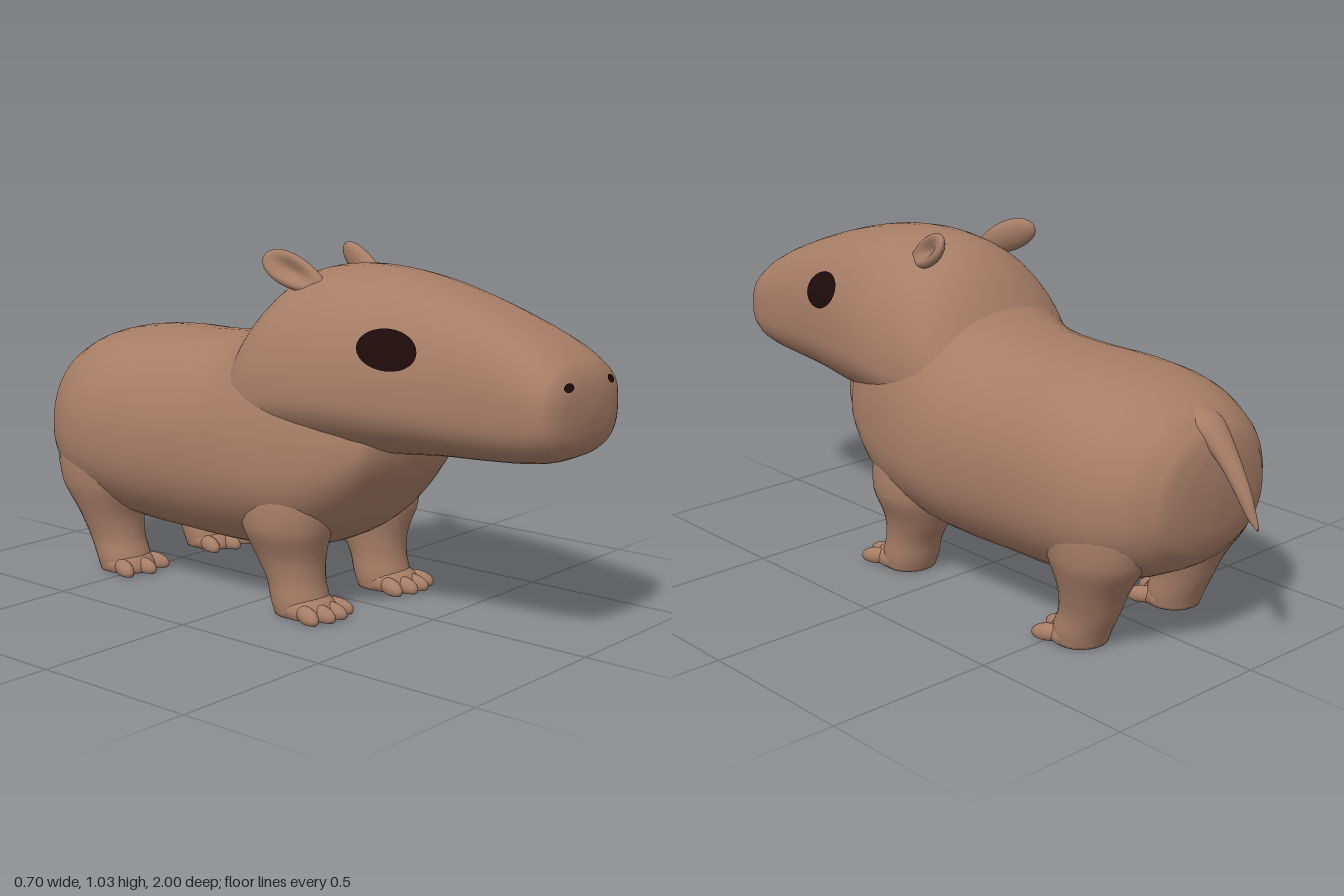
import * as THREE from 'three';

const fur = new THREE.MeshStandardMaterial({ color: 0xa67d66 });
fur.name = 'brownFur';
const dark = new THREE.MeshStandardMaterial({ color: 0x1e0b0b, side: THREE.DoubleSide });
dark.name = 'darkEye';

// Cross-sections along z: [z, bottom, top, halfWidth, heightOfWidestPoint, squareness]
const BODY = [
  [-0.875, 0.42, 0.5, 0.03, 0.46, 2], [-0.865, 0.34, 0.58, 0.14, 0.45, 2.1],
  [-0.83, 0.27, 0.65, 0.225, 0.44, 2.2], [-0.76, 0.22, 0.7, 0.29, 0.42, 2.2],
  [-0.66, 0.18, 0.735, 0.335, 0.42, 2.2], [-0.5, 0.15, 0.755, 0.343, 0.42, 2.2],
  [-0.3, 0.14, 0.757, 0.335, 0.42, 2.2], [-0.1, 0.14, 0.78, 0.342, 0.42, 2.2],
  [0, 0.145, 0.84, 0.348, 0.42, 2.1], [0.1, 0.16, 0.86, 0.338, 0.42, 2.1],
  [0.2, 0.19, 0.85, 0.315, 0.42, 2.1], [0.3, 0.25, 0.78, 0.28, 0.45, 2.1],
  [0.38, 0.34, 0.7, 0.235, 0.48, 2.1], [0.44, 0.43, 0.62, 0.16, 0.52, 2],
  [0.46, 0.5, 0.56, 0.04, 0.53, 2],
];
const HEAD = [
  [-0.12, 0.5, 0.7, 0.2, 0.6, 2], [-0.05, 0.47, 0.815, 0.27, 0.6, 2],
  [0, 0.46, 0.885, 0.295, 0.62, 2], [0.05, 0.46, 0.935, 0.305, 0.63, 2],
  [0.1, 0.46, 0.967, 0.31, 0.63, 2], [0.2, 0.465, 0.99, 0.312, 0.64, 2],
  [0.3, 0.47, 0.995, 0.305, 0.65, 2.05], [0.45, 0.48, 0.98, 0.275, 0.65, 2.15],
  [0.6, 0.495, 0.945, 0.24, 0.65, 2.3], [0.75, 0.503, 0.895, 0.212, 0.65, 2.5],
  [0.88, 0.515, 0.84, 0.197, 0.65, 2.6], [0.94, 0.53, 0.803, 0.186, 0.655, 2.6],
  [0.98, 0.56, 0.76, 0.152, 0.66, 2.6], [0.995, 0.6, 0.715, 0.09, 0.66, 2.4],
  [1, 0.645, 0.675, 0.02, 0.66, 2],
];
const TAIL = [
  [-1, 0.395, 0.41, 0.006, 0.402, 2], [-0.97, 0.42, 0.49, 0.016, 0.455, 2],
  [-0.93, 0.48, 0.56, 0.025, 0.52, 2], [-0.88, 0.545, 0.63, 0.037, 0.59, 2],
  [-0.84, 0.58, 0.668, 0.05, 0.63, 2], [-0.77, 0.59, 0.69, 0.07, 0.64, 2],
];
// Leg sections going down: [y, x, z, halfWidth, halfDepth]
const FRONT_LEG = [
  [0.42, 0.19, 0.13, 0.11, 0.14], [0.26, 0.2, 0.125, 0.118, 0.14], [0.17, 0.19, 0.13, 0.093, 0.11],
  [0.1, 0.188, 0.15, 0.082, 0.088], [0.04, 0.188, 0.165, 0.084, 0.085], [0.003, 0.188, 0.17, 0.078, 0.075],
];
const REAR_LEG = [
  [0.46, 0.19, -0.62, 0.13, 0.18], [0.28, 0.2, -0.625, 0.125, 0.155], [0.18, 0.194, -0.61, 0.1, 0.105],
  [0.1, 0.19, -0.59, 0.083, 0.088], [0.04, 0.19, -0.565, 0.083, 0.083], [0.003, 0.19, -0.56, 0.077, 0.073],
];

// Smooth interpolation of rows, keyed by their first value
function sampler(rows) {
  const spline = new THREE.CubicInterpolant(
    rows.map((r) => r[0]), rows.flatMap((r) => r.slice(1)), rows[0].length - 1);
  return (t) => [t, ...spline.evaluate(t)];
}

function subdivide(rows, steps) {
  const at = sampler(rows), out = [];
  for (let i = 0; i < rows.length - 1; i++) {
    for (let k = 0; k < steps; k++) out.push(at(THREE.MathUtils.lerp(rows[i][0], rows[i + 1][0], k / steps)));
  }
  out.push([...rows[rows.length - 1]]);
  return out;
}

// Closed skin over rings of [x, y, z] points
function loft(rings) {
  const n = rings[0].length, pos = rings.flat(2), index = [];
  for (let i = 0; i < rings.length - 1; i++) {
    for (let j = 0; j < n; j++) {
      const k = (j + 1) % n, a = i * n + j, b = i * n + k;
      index.push(a, b, a + n, b, b + n, a + n);
    }
  }
  const last = (rings.length - 1) * n, c0 = rings.length * n;
  for (const ring of [rings[0], rings[rings.length - 1]]) {
    for (let d = 0; d < 3; d++) pos.push(ring.reduce((s, p) => s + p[d], 0) / n);
  }
  for (let j = 0; j < n; j++) {
    const k = (j + 1) % n;
    index.push(c0, k, j, c0 + 1, last + j, last + k);
  }
  return build(pos, index);
}

function build(pos, index) {
  const g = new THREE.BufferGeometry();
  g.setAttribute('position', new THREE.Float32BufferAttribute(pos, 3));
  g.setIndex(index);
  g.computeVertexNormals();
  return g;
}

const power = (v, e) => Math.sign(v) * Math.abs(v) ** e;
const angles = (n) => Array.from({ length: n }, (_, i) => (i / n) * Math.PI * 2);

function bodyLoft(rows) {
  return loft(subdivide(rows, 4).map(([z, lo, hi, w, mid, n]) => angles(48).map((a) => {
    const s = Math.sin(a);
    return [w * power(Math.cos(a), 2 / n), mid + (s > 0 ? hi - mid : mid - lo) * power(s, 2 / n), z];
  })));
}

function legLoft(rows) {
  const down = subdivide([...rows].reverse(), 4).reverse();
  return loft(down.map(([y, x, z, rx, rz]) => angles(28).map((a) => [x + rx * Math.cos(a), y, z + rz * Math.sin(a)])));
}

// Ellipsoid flattened where it touches the ground
function pad(x, y, z, rx, ry, rz, turn = 0) {
  const g = new THREE.SphereGeometry(1, 20, 14).scale(rx, ry, rz).rotateX(0.15).rotateY(turn).translate(x, y, z);
  const p = g.attributes.position;
  for (let i = 0; i < p.count; i++) p.setY(i, Math.max(0.002, p.getY(i)));
  g.computeVertexNormals();
  return g;
}

// Half-width of the head at a height and depth, and its front at x, y
const headAt = sampler(HEAD);
function headX(y, z) {
  const [, lo, hi, w, mid, n] = headAt(z);
  const t = Math.abs(y - mid) / (y > mid ? hi - mid : mid - lo);
  return t >= 1 ? 0 : w * (1 - t ** n) ** (1 / n);
}
function headZ(x, y) {
  let a = 0.8, b = 1;
  for (let i = 0; i < 24; i++) {
    const m = (a + b) / 2;
    if (headX(y, m) > x) a = m; else b = m;
  }
  return a;
}

// Thin oval following the head; place maps oval coordinates to the surface
function patch(ru, rv, tilt, place) {
  const pos = [...place(0, 0)], index = [], n = 28, rings = 5;
  for (let r = 1; r <= rings; r++) {
    for (const a of angles(n)) {
      const u = ru * Math.cos(a) * r / rings, v = rv * Math.sin(a) * r / rings;
      pos.push(...place(u * Math.cos(tilt) - v * Math.sin(tilt), u * Math.sin(tilt) + v * Math.cos(tilt)));
    }
  }
  for (let j = 0; j < n; j++) {
    const k = (j + 1) % n;
    index.push(0, 1 + k, 1 + j);
    for (let r = 0; r < rings - 1; r++) {
      const a = 1 + r * n + j, b = 1 + r * n + k;
      index.push(a, b, a + n, b, b + n, a + n);
    }
  }
  return build(pos, index);
}

// Rounded ear with a hollow on its outer front face
function earGeometry() {
  const g = new THREE.SphereGeometry(1, 32, 24), p = g.attributes.position;
  for (let i = 0; i < p.count; i++) {
    const x = p.getX(i), y = p.getY(i), z = p.getZ(i);
    const hollow = x > 0 ? 1.25 * Math.exp(-(z * z * 3 + (y - 0.15) ** 2 * 2.2)) * x : 0;
    p.setXYZ(i, (x - hollow) * 0.029, y * 0.108, z * 0.046 * (1 + 0.2 * y));
  }
  const along = new THREE.Vector3(0.045, 0.08, -0.17).normalize();
  const out = new THREE.Vector3(0.8, 0.2, 0.45);
  out.addScaledVector(along, -out.dot(along)).normalize();
  g.applyMatrix4(new THREE.Matrix4().makeBasis(out, along, out.clone().cross(along)));
  g.translate(0.153, 0.968, 0.115);
  g.computeVertexNormals();
  return g;
}

function mirrored(geometry) {
  const g = geometry.clone().scale(-1, 1, 1), index = g.index.array;
  for (let i = 0; i < index.length; i += 3) [index[i], index[i + 1]] = [index[i + 1], index[i]];
  g.computeVertexNormals();
  return g;
}

export function createModel() {
  const model = new THREE.Group();
  model.name = 'rodent';
  const add = (name, geometry, material = fur) => {
    const mesh = new THREE.Mesh(geometry, material);
    mesh.name = name;
    model.add(mesh);
  };
  const pair = (name, geometry, material) => {
    add(name + 'Left', geometry, material);
    add(name + 'Right', mirrored(geometry), material);
  };

  add('body', bodyLoft(BODY));
  add('head', bodyLoft(HEAD));
  add('tail', bodyLoft(TAIL));
  pair('ear', earGeometry());

  // Legs, feet and fanned toes
  for (const [name, rows, z, toes] of [['front', FRONT_LEG, 0.2, 4], ['rear', REAR_LEG, -0.545, 3]]) {
    pair(name + 'Leg', legLoft(rows));
    pair(name + 'Foot', pad(0.19, 0.022, z, 0.083, 0.05, 0.085));
    for (let i = 0; i < toes; i++) {
      const f = (i / (toes - 1)) * 2 - 1;
      pair(name + 'Toe' + (i + 1), pad(0.19 + f * 0.066, 0.02, z + 0.07 - f * f * 0.02, 0.024, 0.026, 0.05, f * 0.3));
    }
  }

  // Eyes and nostrils
  pair('eye', patch(0.088, 0.053, -0.15, (u, v) => [headX(0.8 + v, 0.51 + u) + 0.005, 0.8 + v, 0.51 + u]), dark);
  pair('nostril', patch(0.019, 0.011, -0.2, (u, v) => [0.1 + u, 0.735 + v, headZ(0.1 + u, 0.735 + v) + 0.004]), dark);
  return model;
}
